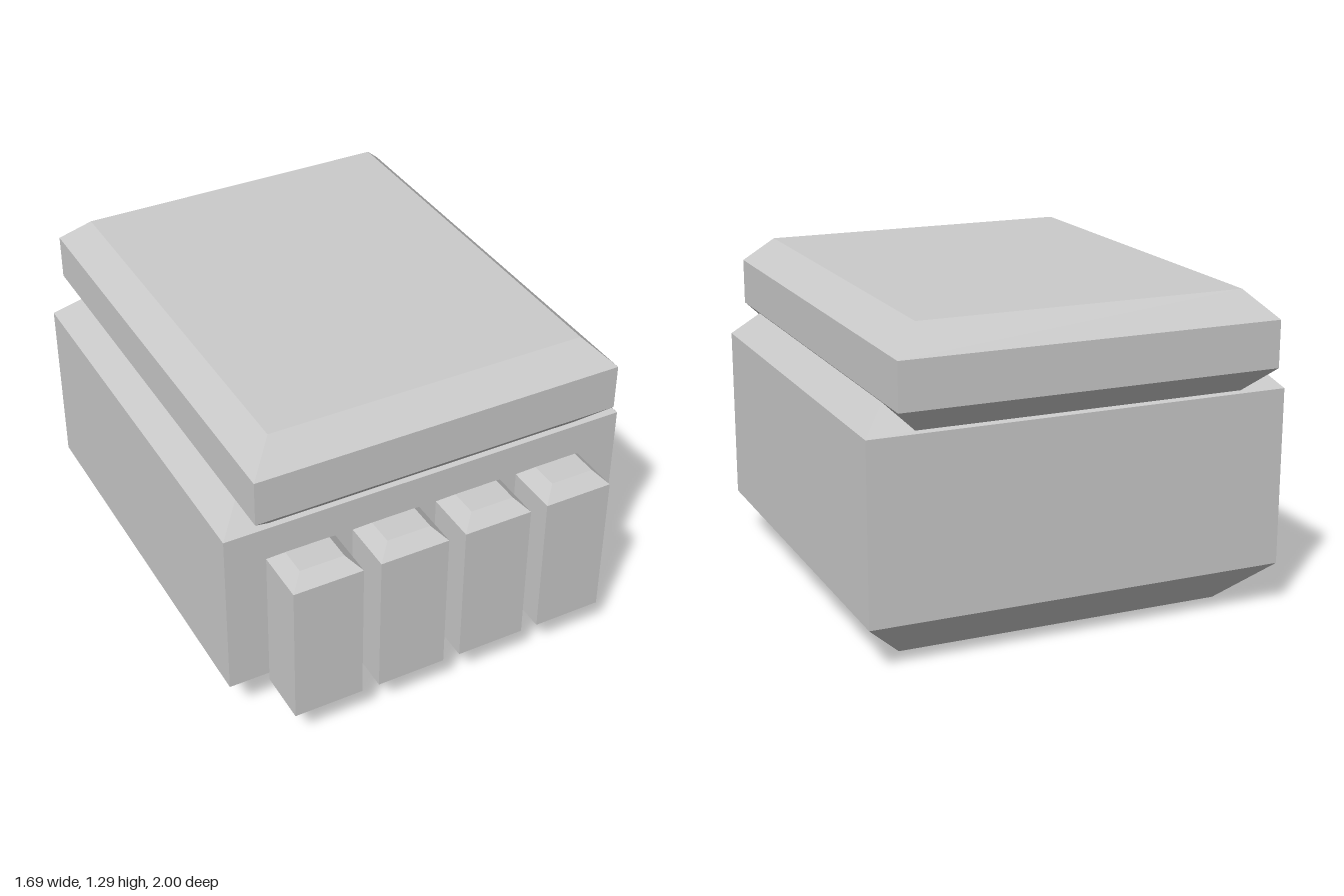
import * as THREE from 'three';

const material = new THREE.MeshStandardMaterial({ color: 0xcccccc, flatShading: true });

// Box with sloped bevels: each level is [y, inset], listed from bottom to top
function bevelledBlock(name, x0, x1, z0, z1, levels) {
  const positions = [];
  const rings = levels.map(([y, i]) => [
    [x0 + i, y, z1 - i], [x1 - i, y, z1 - i], [x1 - i, y, z0 + i], [x0 + i, y, z0 + i],
  ]);
  const quad = (a, b, c, d) => positions.push(...a, ...b, ...c, ...a, ...c, ...d);

  // Side walls and bevels
  for (let r = 0; r < rings.length - 1; r++) {
    for (let k = 0; k < 4; k++) {
      const n = (k + 1) % 4;
      quad(rings[r][k], rings[r][n], rings[r + 1][n], rings[r + 1][k]);
    }
  }
  // Top and bottom caps
  const top = rings[rings.length - 1];
  const bottom = rings[0];
  quad(top[0], top[1], top[2], top[3]);
  quad(bottom[3], bottom[2], bottom[1], bottom[0]);

  const geometry = new THREE.BufferGeometry();
  geometry.setAttribute('position', new THREE.Float32BufferAttribute(positions, 3));
  geometry.computeVertexNormals();
  const mesh = new THREE.Mesh(geometry, material);
  mesh.name = name;
  return mesh;
}

export function createModel() {
  const model = new THREE.Group();
  model.name = 'bevelledCrate';

  // Main body with a deep bevel underneath and a shallow one on top
  model.add(bevelledBlock('body', -0.845, 0.845, -0.91, 0.78,
    [[0, 0.177], [0.18, 0], [0.89, 0], [0.99, 0.1]]));

  // Overhanging lid, bevelled above and below
  model.add(bevelledBlock('lid', -0.757, 0.757, -1, 0.865,
    [[0.9, 0.1], [1, 0], [1.185, 0], [1.29, 0.107]]));

  // Row of four upright bars on the front
  const bars = new THREE.Group();
  bars.name = 'frontBars';
  for (let i = 0; i < 4; i++) {
    const x = -0.537 + i * 0.356;
    bars.add(bevelledBlock(`frontBar${i + 1}`, x - 0.142, x + 0.142, 0.78, 1,
      [[0.093, 0.052], [0.145, 0], [0.75, 0], [0.802, 0.052]]));
  }
  model.add(bars);

  return model;
}
